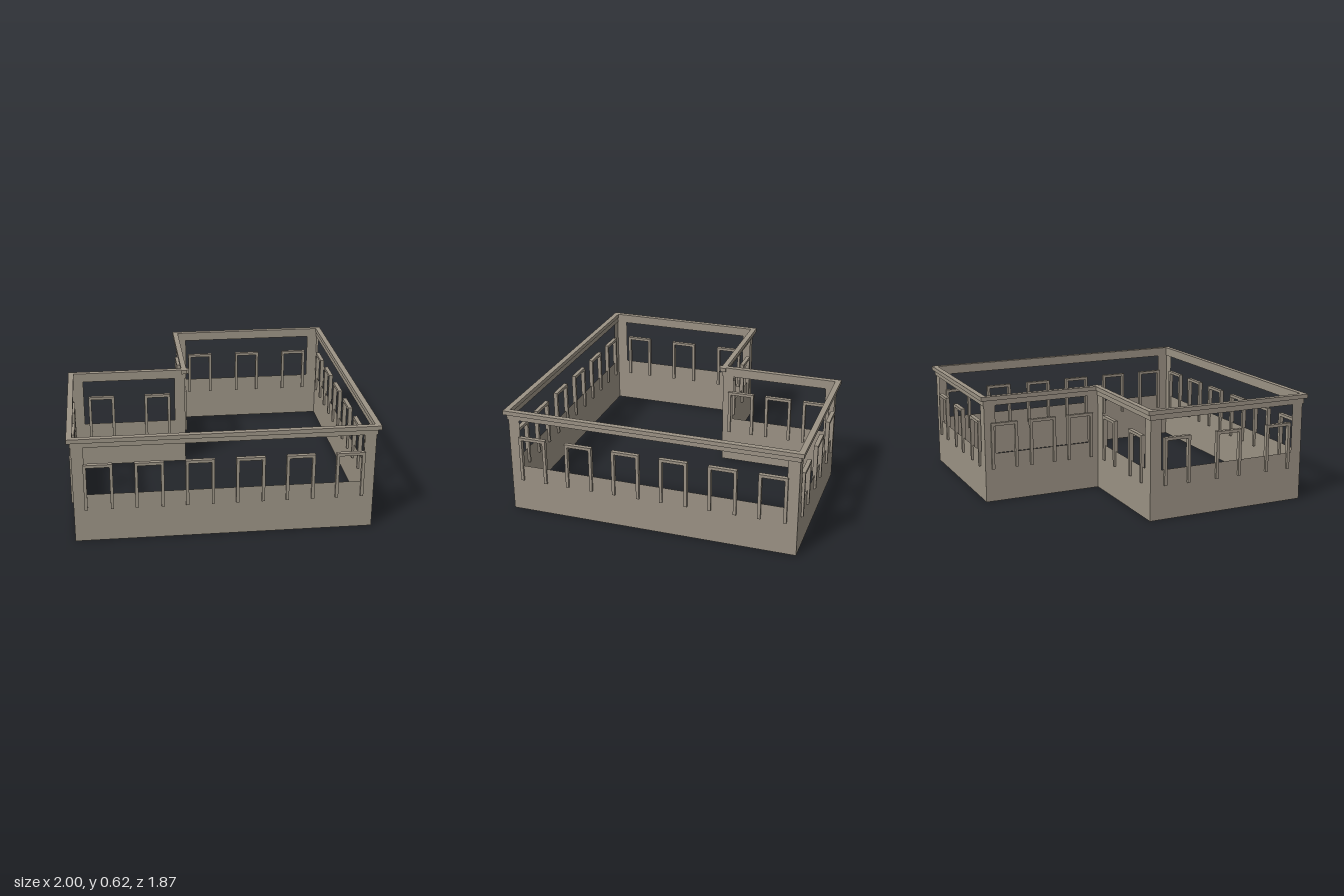
import * as THREE from 'three';

const stone = new THREE.MeshStandardMaterial({ color: 0x9c9385, side: THREE.DoubleSide });
stone.name = 'warm grey stone';

const WALL_TOP = 0.285, LEDGE = 0.568, FRAME_TOP = 0.465, LEG_BOTTOM = 0.195;
const FRAME_WIDTH = 0.16, BAR = 0.017, FRAME_DEPTH = 0.024, PILLAR = 0.066;

// Box given by its limits along the wall (x), up (y) and outward (z)
function box(name, x0, x1, y0, y1, z0, z1) {
  const mesh = new THREE.Mesh(new THREE.BoxGeometry(x1 - x0, y1 - y0, z1 - z0), stone);
  mesh.position.set((x0 + x1) / 2, (y0 + y1) / 2, (z0 + z1) / 2);
  mesh.name = name;
  return mesh;
}

// Thin upright sheet in the wall plane
function sheet(name, x0, x1, y0, y1) {
  const mesh = new THREE.Mesh(new THREE.PlaneGeometry(x1 - x0, y1 - y0), stone);
  mesh.position.set((x0 + x1) / 2, (y0 + y1) / 2, 0);
  mesh.name = name;
  return mesh;
}

// Open-bottomed window surround whose legs run down past the wall top
function windowFrame(x) {
  const g = new THREE.Group();
  g.name = 'windowFrame';
  const h = FRAME_WIDTH / 2, d = FRAME_DEPTH / 2;
  g.add(
    box('frameLeg', x - h, x - h + BAR, LEG_BOTTOM, FRAME_TOP - BAR, -d, d),
    box('frameLeg', x + h - BAR, x + h, LEG_BOTTOM, FRAME_TOP - BAR, -d, d),
    box('frameHead', x - h, x + h, FRAME_TOP - BAR, FRAME_TOP, -d, d)
  );
  return g;
}

// One side of the building, from corner p to corner q, with evenly spaced windows
function side([px, pz], [qx, qz], windows) {
  const g = new THREE.Group();
  g.name = 'wallSide';
  const length = Math.hypot(qx - px, qz - pz);
  g.position.set(px, 0, pz);
  g.rotation.y = Math.atan2(pz - qz, qx - px);
  g.add(
    sheet('lowerWall', 0, length, 0, WALL_TOP),
    sheet('cornerPillar', 0, PILLAR, WALL_TOP, LEDGE),
    sheet('cornerPillar', length - PILLAR, length, WALL_TOP, LEDGE)
  );
  for (let i = 0; i < windows; i++) g.add(windowFrame(((i + 0.5) * length) / windows));
  // Two-step cornice
  g.add(
    box('corniceLower', -0.006, length + 0.006, LEDGE, 0.6, -0.006, 0.006),
    box('corniceUpper', -0.0215, length + 0.0215, 0.6, 0.624, -0.0105, 0.0215)
  );
  return g;
}

export function createModel() {
  const model = new THREE.Group();
  model.name = 'building';

  // L-shaped plan: a square with one corner cut out, turned on the site
  const H = 0.8345, nx = -0.139, nz = -0.132;
  const corners = [[-H, H], [H, H], [H, -H], [nx, -H], [nx, nz], [-H, nz]];
  const windows = [6, 6, 3, 3, 2, 3];

  const shell = new THREE.Group();
  shell.name = 'shell';
  corners.forEach((c, i) => shell.add(side(c, corners[(i + 1) % corners.length], windows[i])));
  shell.rotation.y = -THREE.MathUtils.degToRad(10.7);
  shell.position.z = -0.067;
  model.add(shell);
  return model;
}
